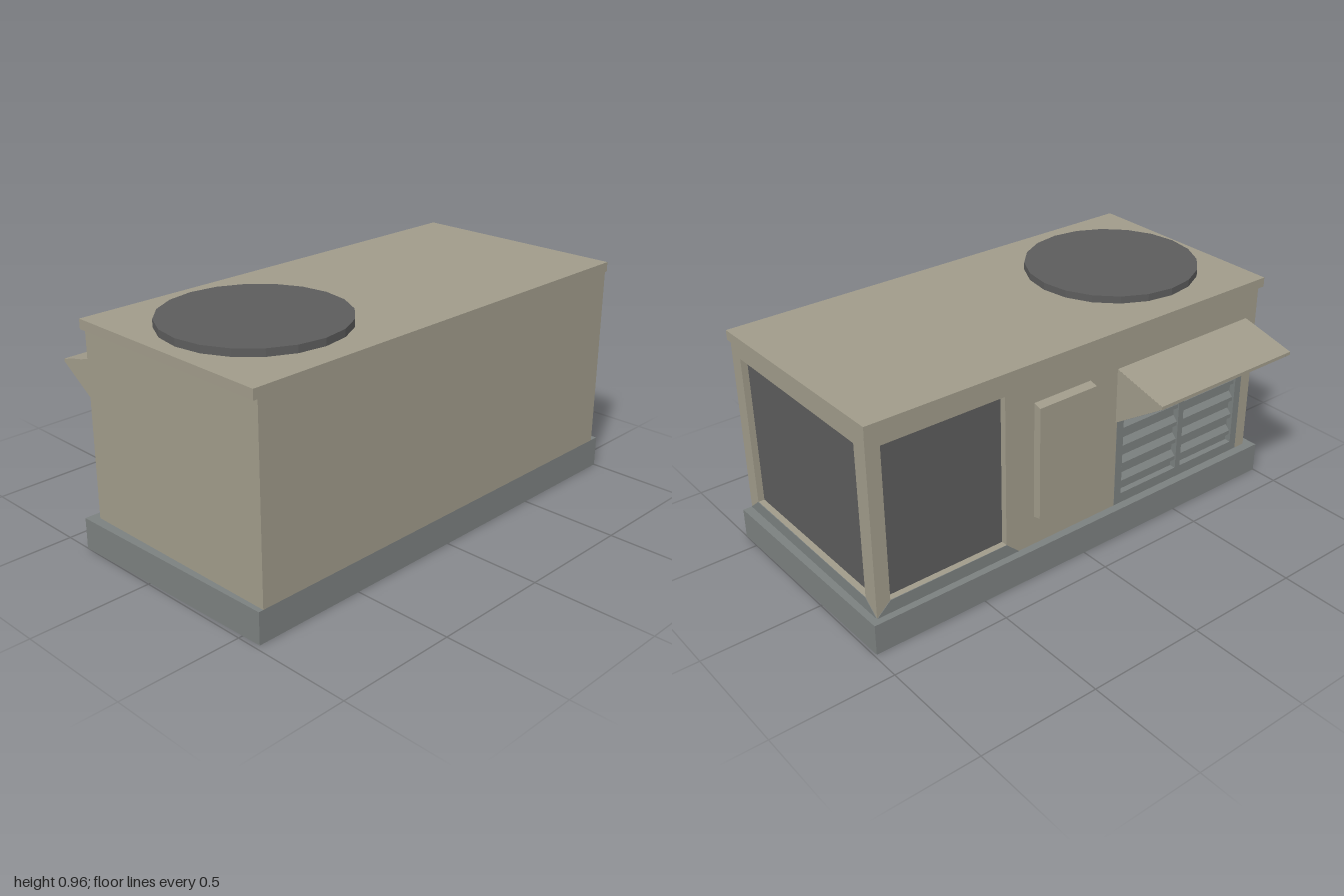
import * as THREE from 'three';

const material = (color) => new THREE.MeshStandardMaterial({ color, flatShading: true });
const tan = material(0xa09b8a);
const grey = material(0x7b807f);
const dark = material(0x5c5c5c);

const polygon = (points) => new THREE.Shape(points.map(([a, b]) => new THREE.Vector2(a, b)));
const rect = (a0, a1, b0, b1) => [[a0, b0], [a1, b0], [a1, b1], [a0, b1]];

function extrude(points, depth, holes = []) {
  const shape = polygon(points);
  shape.holes = holes.map(polygon);
  return new THREE.ExtrudeGeometry(shape, { depth, bevelEnabled: false });
}

// Outline given as (-z, y), swept along x from x0 to x1
const alongX = (points, x0, x1, holes) =>
  extrude(points, x1 - x0, holes).rotateY(Math.PI / 2).translate(x0, 0, 0);

// Outline given as (x, y), swept along z from z0 to z1
const alongZ = (points, z0, z1, holes) => extrude(points, z1 - z0, holes).translate(0, 0, z0);

// Outline given as (x, -z), swept upward from y0 to y1
const alongY = (points, y0, y1) =>
  extrude(points, y1 - y0).rotateX(-Math.PI / 2).translate(0, y0, 0);

const box = (x0, x1, y0, y1, z0, z1) =>
  new THREE.BoxGeometry(x1 - x0, y1 - y0, z1 - z0)
    .translate((x0 + x1) / 2, (y0 + y1) / 2, (z0 + z1) / 2);

export function createModel() {
  const model = new THREE.Group();
  model.name = 'rooftopUnit';
  const add = (name, geometry, mat, parent = model) => {
    const mesh = new THREE.Mesh(geometry, mat);
    mesh.name = name;
    parent.add(mesh);
    return mesh;
  };

  // Slightly irregular base and lid
  add('base', alongY([[-0.98, -0.585], [1, -0.585], [0.99, 0.37], [-1, 0.38]], 0, 0.13), grey);
  add('lid', alongY([[-0.978, -0.585], [0.973, -0.585], [0.965, 0.35], [-0.968, 0.36]], 0.89, 0.93), tan);

  // Cabinet core, with framed skins on the two sides that have openings
  add('cabinet', box(-0.96, 0.93, 0.13, 0.89, -0.31, 0.585), tan);
  const sideOpening = rect(-0.52, 0.27, 0.185, 0.83);
  const backOpening = rect(0.37, 0.9, 0.185, 0.83);
  const grilleOpening = rect(-0.906, -0.186, 0.131, 0.73);
  add('sideFrame', alongX(rect(-0.585, 0.34, 0.13, 0.89), 0.93, 0.96, [sideOpening]), tan);
  add('backFrame', alongZ(rect(-0.96, 0.93, 0.13, 0.89), -0.34, -0.31, [backOpening, grilleOpening]), tan);

  // Dark recessed coil panels
  add('sideCoil', alongX(sideOpening, 0.928, 0.933), dark);
  add('backCoil', alongZ(backOpening, -0.313, -0.308), dark);

  // Mitred grey sills below the coil openings
  add('sideSill', alongX([[-0.585, 0.13], [0.34, 0.13], [0.27, 0.185], [-0.52, 0.185]], 0.959, 0.962), grey);
  add('backSill', alongZ([[0.31, 0.13], [0.96, 0.13], [0.9, 0.185], [0.37, 0.185]], -0.342, -0.339), grey);

  // Fan cover
  add('fanCover', new THREE.CylinderGeometry(0.36, 0.36, 0.03, 20).translate(-0.55, 0.945, 0.115), dark);

  // Access panel with slightly chamfered top and bottom
  add('accessPanel',
    alongX([[0.33, 0.255], [0.375, 0.265], [0.375, 0.748], [0.33, 0.76]], -0.04, 0.235), tan);

  // Louvred intake: surround, backing, slats in two columns, centre post
  const grille = new THREE.Group();
  grille.name = 'intakeGrille';
  model.add(grille);
  add('grilleSurround', alongZ(grilleOpening, -0.341, -0.31, [rect(-0.87, -0.222, 0.175, 0.71)]), grey, grille);
  add('grilleBacking', box(-0.88, -0.21, 0.16, 0.72, -0.314, -0.309), grey, grille);
  for (let row = 0; row < 6; row++) {
    const y = 0.235 + row * 0.083;
    const profile = [[0.312, y], [0.336, y - 0.022], [0.336, y - 0.004], [0.312, y + 0.02]];
    for (const [x0, x1] of [[-0.865, -0.56], [-0.532, -0.227]]) {
      add('slat', alongX(profile, x0, x1), grey, grille);
    }
  }
  add('centrePost', box(-0.56, -0.532, 0.175, 0.71, -0.342, -0.31), grey, grille);

  // Rain hood: sloped roof, triangular cheeks and a grey inner lining
  const hood = new THREE.Group();
  hood.name = 'rainHood';
  model.add(hood);
  const left = -0.18;
  const right = -0.9;
  add('hoodRoof',
    alongX([[0.335, 0.761], [0.335, 0.748], [0.585, 0.686], [0.585, 0.7]], right, left), tan, hood);
  add('hoodCeiling',
    alongX([[0.336, 0.749], [0.336, 0.743], [0.57, 0.685], [0.57, 0.691]], right + 0.02, left - 0.02), dark, hood);
  const cheek = [[0.335, 0.52], [0.585, 0.688], [0.585, 0.699], [0.335, 0.76]];
  const lining = [[0.335, 0.518], [0.585, 0.686], [0.585, 0.69], [0.335, 0.752]];
  for (const [edge, inward] of [[right, 1], [left, -1]]) {
    const sweep = (points, near, far) => {
      const xs = [edge + inward * near, edge + inward * far].sort((a, b) => a - b);
      return alongX(points, xs[0], xs[1]);
    };
    add('hoodCheek', sweep(cheek, -0.001, 0.008), tan, hood);
    add('hoodLining', sweep(lining, 0.008, 0.028), grey, hood);
  }
  add('hoodLip',
    alongX([[0.56, 0.669], [0.585, 0.686], [0.585, 0.692], [0.56, 0.698]], right + 0.008, left - 0.008), grey, hood);

  return model;
}
